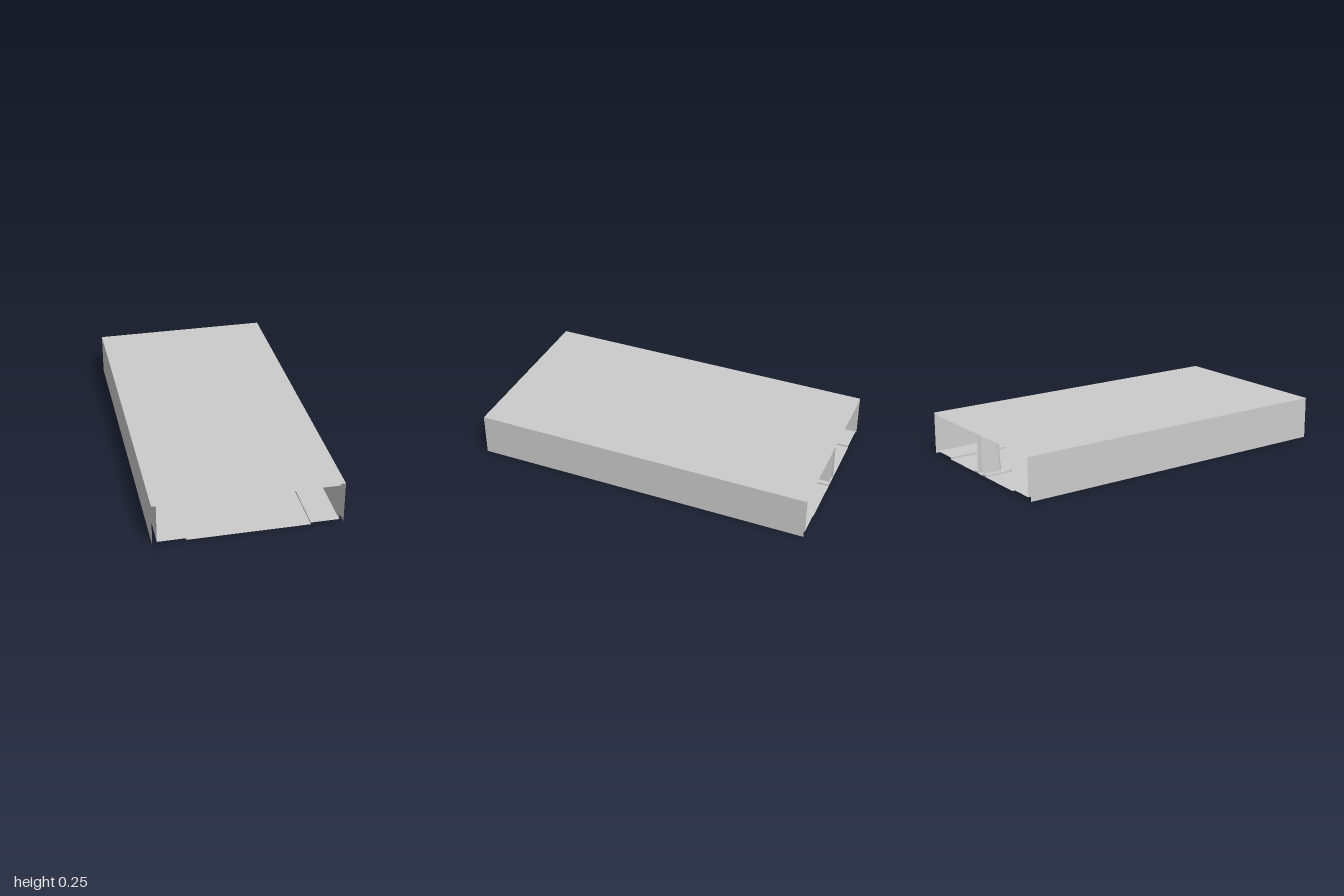
import * as THREE from 'three';

const material = new THREE.MeshStandardMaterial({ color: 0xcccccc, side: THREE.DoubleSide });
const HALF_LENGTH = 1;

function part(name, geometry) {
  const mesh = new THREE.Mesh(geometry, material);
  mesh.name = name;
  return mesh;
}

// Thin sheet: an open [x, y] profile swept along z, with a sharp fold at each corner
function sheet(name, profile) {
  const positions = [];
  for (let i = 0; i < profile.length - 1; i++) {
    const [ax, ay] = profile[i], [bx, by] = profile[i + 1];
    const a = [ax, ay, HALF_LENGTH], b = [bx, by, HALF_LENGTH];
    const c = [bx, by, -HALF_LENGTH], d = [ax, ay, -HALF_LENGTH];
    positions.push(...a, ...b, ...c, ...a, ...c, ...d);
  }
  const geometry = new THREE.BufferGeometry();
  geometry.setAttribute('position', new THREE.Float32BufferAttribute(positions, 3));
  geometry.computeVertexNormals();
  return part(name, geometry);
}

// U-shaped outline in (x, depth), open at depth 0, with a semicircular end
function uOutline(radius, depth, steps = 16) {
  const points = [new THREE.Vector2(-radius, 0)];
  for (let i = 0; i <= steps; i++) {
    const t = Math.PI * (1 - i / steps);
    points.push(new THREE.Vector2(radius * Math.cos(t), depth - radius + radius * Math.sin(t)));
  }
  points.push(new THREE.Vector2(radius, 0));
  return points;
}

// Hollow tapering wall lofted between two U outlines
function postGeometry(yBottom, yTop) {
  const rings = [[uOutline(0.03, 0.13), yBottom], [uOutline(0.018, 0.115), yTop]];
  const positions = [], index = [];
  for (const [ring, y] of rings) for (const p of ring) positions.push(p.x, y, p.y - HALF_LENGTH);
  const n = rings[0][0].length;
  for (let i = 0; i < n - 1; i++) index.push(i, i + 1, n + i, i + 1, n + i + 1, n + i);
  const geometry = new THREE.BufferGeometry();
  geometry.setAttribute('position', new THREE.Float32BufferAttribute(positions, 3));
  geometry.setIndex(index);
  geometry.computeVertexNormals();
  return geometry;
}

// Foot plate with two rounded corners and a slot that follows the post
function footGeometry() {
  const w = 0.06, d = 0.19, r = 0.045;
  const shape = new THREE.Shape();
  shape.moveTo(0.03, 0);
  shape.lineTo(w, 0);
  shape.lineTo(w, d - r);
  shape.absarc(w - r, d - r, r, 0, Math.PI / 2, false);
  shape.absarc(-w + r, d - r, r, Math.PI / 2, Math.PI, false);
  shape.lineTo(-w, 0);
  for (const p of uOutline(0.03, 0.13)) shape.lineTo(p.x, p.y);
  return new THREE.ExtrudeGeometry(shape, { depth: 0.01, bevelEnabled: false, curveSegments: 8 })
    .rotateX(Math.PI / 2)
    .translate(0, 0.018, -HALF_LENGTH);
}

export function createModel() {
  const model = new THREE.Group();
  model.name = 'duct';

  // Outer cover, open underneath and at both ends
  model.add(sheet('cover', [[-0.53, 0], [-0.53, 0.25], [0.53, 0.25], [0.53, 0]]));

  // Inner sleeve with a floor that is lowered in the middle
  const inner = 0.505, step = 0.345, floor = 0.008, ledge = 0.019, ceiling = 0.24;
  model.add(sheet('innerSleeve', [
    [-inner, ceiling], [-inner, ledge], [-step, ledge], [-step, floor],
    [step, floor], [step, ledge], [inner, ledge], [inner, ceiling], [-inner, ceiling],
  ]));

  // Support post standing at the back opening
  const support = new THREE.Group();
  support.name = 'support';
  support.add(part('supportPost', postGeometry(0.01, 0.237)));
  support.add(part('supportFoot', footGeometry()));
  model.add(support);

  return model;
}
